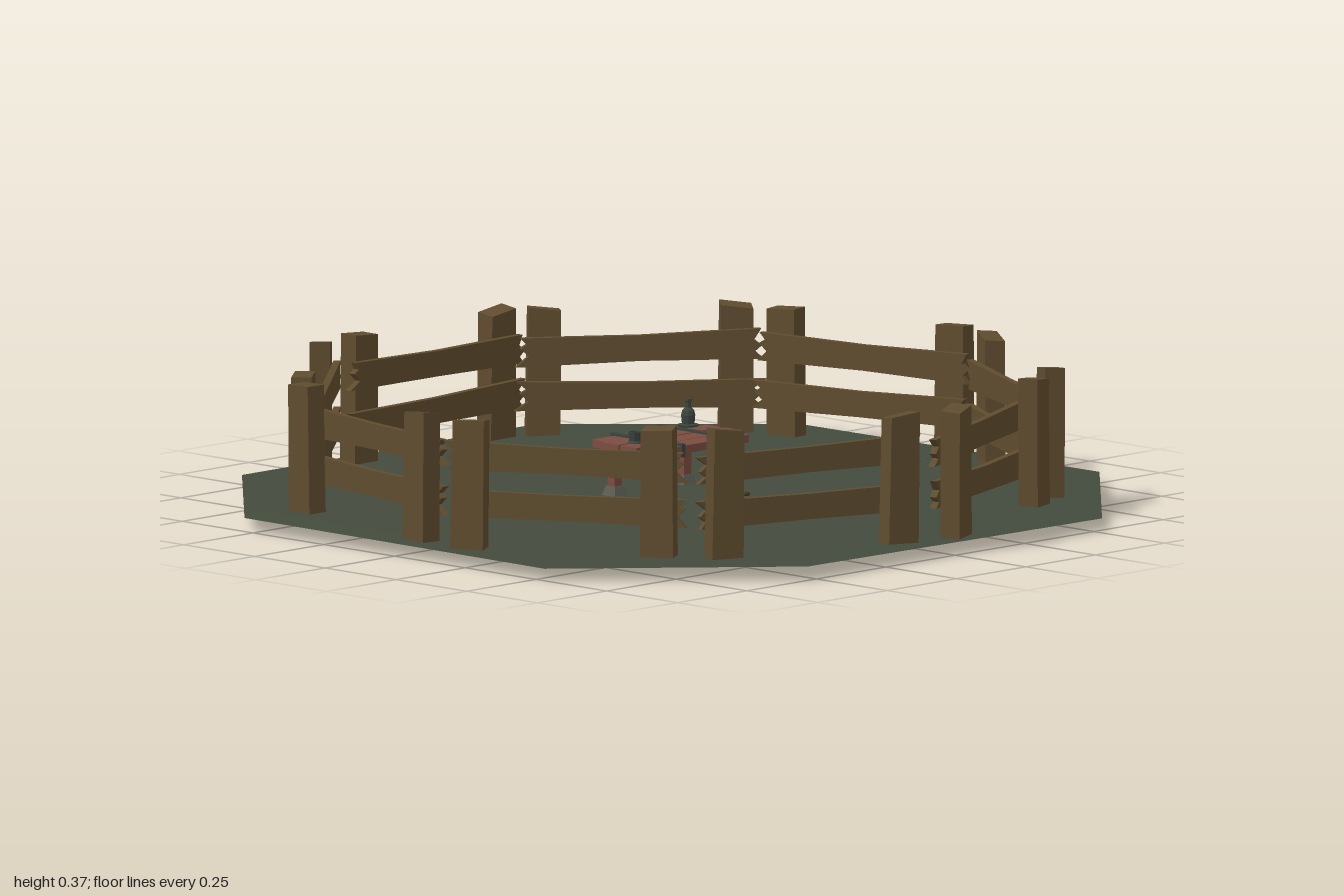
import * as THREE from 'three';
import { mergeVertices } from 'three/addons/utils/BufferGeometryUtils.js';

const mat = (name, color, side = THREE.FrontSide, flatShading = true) => {
  const m = new THREE.MeshStandardMaterial({ color, side, flatShading });
  m.name = name;
  return m;
};
let seed = 7;
const rand = (s = 1) => {
  seed = (seed * 16807) % 2147483647;
  return (seed / 2147483647 * 2 - 1) * s;
};

export function createModel() {
  const grass = mat('grass', 0x434b3d, THREE.DoubleSide, false);
  const wood = mat('fence wood', 0x5f4c2f);
  const redWood = mat('table wood', 0x7b4c3f);
  const iron = mat('dark iron', 0x3b443f);
  const stone = mat('stone feet', 0x5b5d54);
  const orange = mat('pumpkin orange', 0xcf760f, THREE.FrontSide, false);
  const stemMat = mat('stem', 0x4a4128);
  const root = new THREE.Group();

  const add = (parent, name, geo, material, x = 0, y = 0, z = 0) => {
    const m = new THREE.Mesh(geo, material);
    m.name = name;
    m.position.set(x, y, z);
    parent.add(m);
    return m;
  };
  const group = (parent, name) => {
    const g = new THREE.Group();
    g.name = name;
    parent.add(g);
    return g;
  };

  // Ground: an uneven octagonal sheet, low at the middle and at the rim
  const ring = new THREE.RingGeometry(0, 1, 8, 6);
  const rp = ring.attributes.position;
  const corners = [[1, 0.53], [0.53, 1], [-0.53, 1], [-1, 0.53], [-1, -0.53], [-0.53, -1], [0.53, -1], [1, -0.53]];
  for (let i = 0; i < rp.count; i++) {
    const k = (i % 9) % 8, r = Math.floor(i / 9) / 6;
    const x = corners[k][0] * r, z = -corners[k][1] * r;
    const y = 0.034 + Math.sin(r * Math.PI) * (0.012 + 0.008 * Math.sin(k * 2.3)) + (r === 1 ? 0.004 * Math.sin(k * 3) : 0);
    rp.setXYZ(i, x, y, z);
  }
  ring.deleteAttribute('uv');
  ring.deleteAttribute('normal');
  const groundGeo = mergeVertices(ring);
  groundGeo.computeVertexNormals();
  add(root, 'ground', groundGeo, grass);

  // Post: a tapered beam with a slanted, uneven top
  const postGeo = () => {
    const g = new THREE.BoxGeometry(0.086, 0.335, 0.052);
    const p = g.attributes.position;
    const slant = rand(0.15), tilt = rand(0.15), lean = rand(0.006);
    for (let i = 0; i < p.count; i++) {
      if (p.getY(i) > 0) {
        p.setY(i, 0.16 + p.getX(i) * slant + p.getZ(i) * tilt);
        p.setX(i, p.getX(i) * 0.95 + lean);
      }
    }
    g.computeVertexNormals();
    return g;
  };
  // Rail: a plank with splintered ends
  const railGeo = () => {
    const L = 0.31, h = 0.036;
    const pts = [[-L + rand(0.012), -h + rand(0.004)], [0, -h + 0.003], [L + rand(0.012), -h + rand(0.004)],
      [L - 0.025, -0.012], [L - 0.003, 0.008], [L - 0.02, 0.018], [L + rand(0.012), h + rand(0.004)],
      [0, h - 0.004], [-L + rand(0.012), h + rand(0.004)], [-L + 0.022, 0.012], [-L + 0.003, -0.004], [-L + 0.02, -0.018]];
    const g = new THREE.ExtrudeGeometry(new THREE.Shape(pts.map(p => new THREE.Vector2(...p))),
      { depth: 0.018, bevelEnabled: false });
    return g.translate(0, 0, -0.009);
  };

  // Fence: nine panels, each given by its two post positions (x, z)
  const panels = [
    [0.295, -0.91, -0.2, -0.91], [0.785, -0.545, 0.4, -0.85], [0.95, 0.065, 0.835, -0.415],
    [0.66, 0.69, 0.895, 0.25], [0.055, 0.95, 0.515, 0.775], [-0.585, 0.757, -0.118, 0.917],
    [-0.935, 0.2, -0.685, 0.625], [-0.84, -0.465, -0.93, 0.025], [-0.353, -0.895, -0.738, -0.58]];
  const fence = group(root, 'fence');
  for (const [x0, z0, x1, z1] of panels) {
    const panel = group(fence, 'fencePanel');
    panel.position.set((x0 + x1) / 2, 0, (z0 + z1) / 2);
    panel.rotation.y = Math.atan2(z0 - z1, x1 - x0);
    const half = Math.hypot(x1 - x0, z1 - z0) / 2;
    for (const s of [-1, 1]) {
      add(panel, 'fencePost', postGeo(), wood, s * half, 0.205, 0).rotation.y = rand(0.06);
    }
    for (const y of [0.145, 0.265]) {
      add(panel, 'fenceRail', railGeo(), wood, rand(0.008), y, -0.035).rotation.z = rand(0.02);
    }
  }

  // Table
  const table = group(root, 'table');
  const planks = [[0.335, -0.095], [0.375, -0.033], [0.38, 0.03], [0.325, 0.092]];
  for (const [len, z] of planks) {
    const g = new THREE.BoxGeometry(len, 0.02, 0.058);
    const p = g.attributes.position;
    for (let i = 0; i < p.count; i++) {
      // outer planks are cut back toward the table edge
      const edge = Math.abs(p.getZ(i) + z) > 0.1 ? 0.95 : 1;
      p.setX(i, p.getX(i) * edge);
    }
    g.computeVertexNormals();
    add(table, 'tablePlank', g, redWood, rand(0.004), 0.175 + rand(0.002), z);
  }
  for (const x of [-0.085, 0.085]) {
    add(table, 'tableStrap', new THREE.BoxGeometry(0.014, 0.007, 0.252), iron, x, 0.1885, -0.002);
    for (const z of [-0.126, 0.122]) {
      add(table, 'strapEnd', new THREE.BoxGeometry(0.014, 0.034, 0.006), iron, x, 0.175, z);
    }
  }
  for (const x of [-0.125, 0.125]) {
    add(table, 'tableBrace', new THREE.BoxGeometry(0.026, 0.022, 0.2), redWood, x, 0.154, 0);
    for (const z of [-0.08, 0.08]) {
      add(table, 'tableLeg', new THREE.BoxGeometry(0.026, 0.11, 0.026), redWood, x, 0.11, z);
      add(table, 'tableFoot', new THREE.CylinderGeometry(0.022, 0.033, 0.024, 4, 1, false, Math.PI / 4), stone, x, 0.054, z);
    }
  }

  // Tall bottle with a dish at its base
  const lathe = (pts, n) => new THREE.LatheGeometry(pts.map(p => new THREE.Vector2(...p)), n);
  const bottle = group(table, 'bottle');
  bottle.position.set(0.14, 0.185, -0.08);
  add(bottle, 'bottleBody', lathe([[0, 0], [0.026, 0], [0.028, 0.006], [0.016, 0.008], [0.018, 0.03],
    [0.015, 0.042], [0.007, 0.05], [0.007, 0.064], [0.01, 0.066], [0.009, 0.072], [0, 0.072]], 8), iron);

  // Low cup with a handle pointing along the table
  const cup = group(table, 'cup');
  cup.position.set(-0.135, 0.185, 0);
  add(cup, 'cupBody', lathe([[0, 0], [0.02, 0], [0.014, 0.008], [0.017, 0.03], [0.013, 0.03], [0.012, 0.012], [0, 0.012]], 8), iron);
  add(cup, 'cupHandle', new THREE.BoxGeometry(0.045, 0.006, 0.008), iron, 0.032, 0.006, 0.004);

  // Pumpkin: a ribbed, flattened ball tipped forward onto its side
  const pumpkin = group(root, 'pumpkin');
  pumpkin.position.set(-0.008, 0.055, 0.19);
  pumpkin.rotation.set(1.35, 0, -0.15);
  const ball = new THREE.SphereGeometry(0.054, 40, 14);
  const bp = ball.attributes.position;
  for (let i = 0; i < bp.count; i++) {
    const x = bp.getX(i), y = bp.getY(i), z = bp.getZ(i);
    const r = Math.hypot(x, z) / 0.054;
    const rib = 0.94 + 0.07 * Math.abs(Math.sin(Math.atan2(z, x) * 5));
    bp.setXYZ(i, x * rib, y * (0.62 + 0.18 * r), z * rib);
  }
  ball.computeVertexNormals();
  add(pumpkin, 'pumpkinBody', ball, orange);
  const stemPath = new THREE.CatmullRomCurve3([[0, 0.028, 0], [0.002, 0.046, 0], [0.014, 0.056, 0], [0.03, 0.057, 0.002]]
    .map(p => new THREE.Vector3(...p)));
  add(pumpkin, 'pumpkinStem', new THREE.TubeGeometry(stemPath, 6, 0.006, 6), stemMat);

  return root;
}
